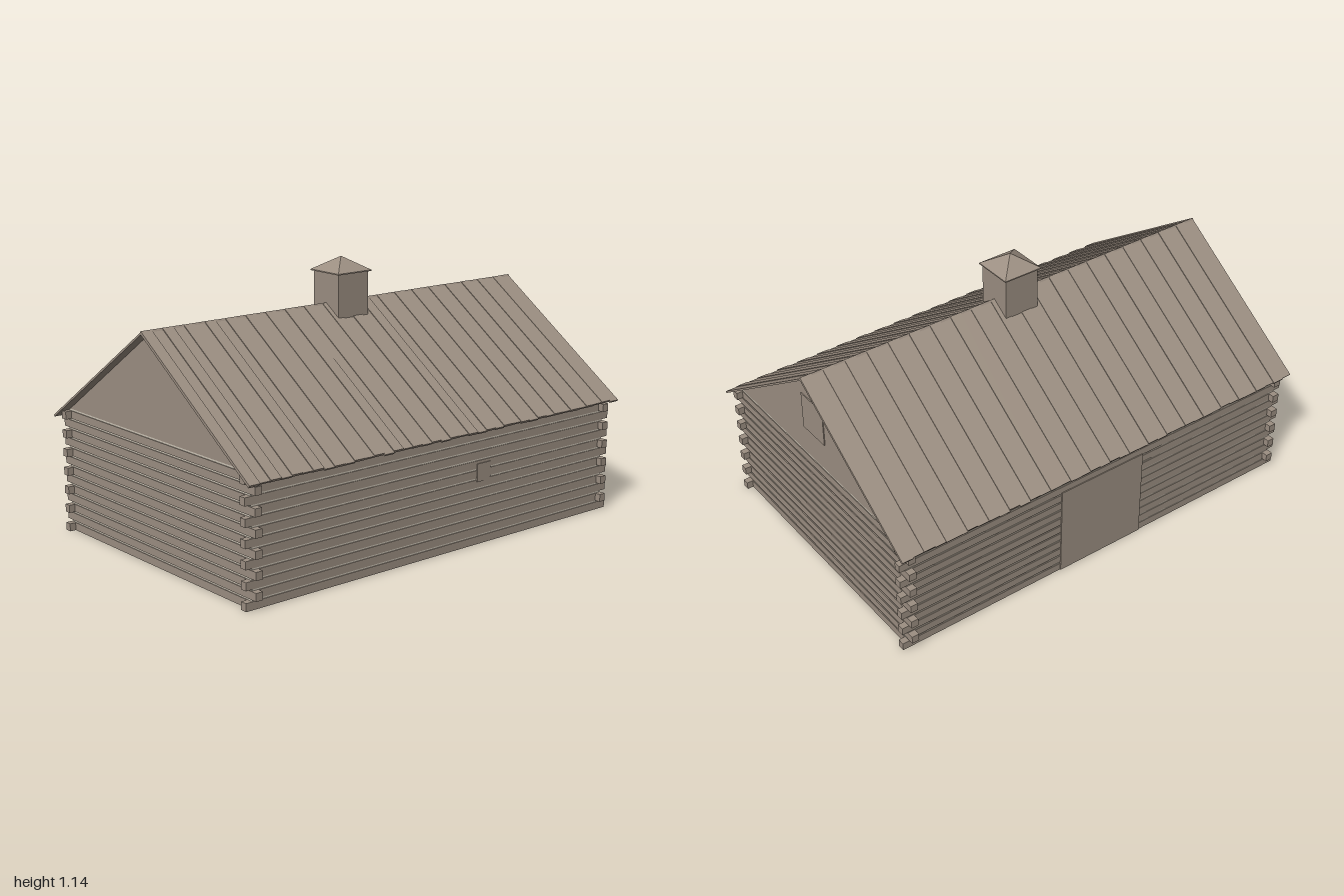
import * as THREE from 'three';

export function createModel() {
  const model = new THREE.Group();
  model.name = 'logCabin';

  const wood = new THREE.MeshStandardMaterial({ color: 0x9c8f82 });
  wood.name = 'weatheredWood';
  const clay = new THREE.MeshStandardMaterial({ color: 0xccc4b5 });
  clay.name = 'chinking';

  // Box given by two opposite corners, in any order
  function box(name, material, a, b, parent = model) {
    const size = a.map((v, i) => Math.abs(b[i] - v));
    const mesh = new THREE.Mesh(new THREE.BoxGeometry(...size), material);
    mesh.position.set(...a.map((v, i) => (v + b[i]) / 2));
    mesh.name = name;
    parent.add(mesh);
    return mesh;
  }

  let seed = 17;
  const random = () => (seed = (seed * 16807) % 2147483647) / 2147483647;

  // Log walls: 13 courses of slim faces, with square ends crossing at the corners in turn
  const step = 0.0405, logHeight = 0.033, courses = 13;
  const wallTop = courses * step;
  const longWalls = new THREE.Group(), endWalls = new THREE.Group();
  longWalls.name = 'longWallLogs';
  endWalls.name = 'endWallLogs';
  model.add(longWalls, endWalls);
  for (let k = 0; k < courses; k++) {
    const y0 = k * step, y1 = y0 + logHeight;
    for (const s of [-1, 1]) {
      box('longLog', wood, [-0.928, y0, s * 0.617], [0.928, y1, s * 0.627], longWalls);
      box('endLog', wood, [s * 0.95, y0, -0.597], [s * 0.96, y1, 0.597], endWalls);
      for (const t of [-1, 1]) {
        if (k % 2) box('endLogTip', wood, [s * 0.928, y0, t * 0.597], [s * 0.96, y1, t * 0.653], endWalls);
        else box('longLogTip', wood, [s * 0.928, y0, t * 0.597], [s * 0.987, y1, t * 0.627], longWalls);
      }
    }
  }

  // Chinking between the logs and a plain lining inside
  for (const s of [-1, 1]) {
    box('longWallChinking', clay, [-0.955, 0.003, s * 0.6175], [0.955, wallTop - 0.006, s * 0.6235]);
    box('endWallChinking', clay, [s * 0.9505, 0.003, -0.622], [s * 0.9565, wallTop, 0.622]);
    box('longWallLining', wood, [-0.95, 0, s * 0.615], [0.95, wallTop - 0.006, s * 0.6175]);
    box('endWallLining', wood, [s * 0.948, 0, -0.617], [s * 0.9505, wallTop, 0.617]);
  }

  // Gable triangles
  const ridgeY = 0.955, slope = 0.68;
  const gableShape = new THREE.Shape();
  const halfBase = (ridgeY - 0.012 - wallTop) / slope;
  gableShape.moveTo(-halfBase, wallTop);
  gableShape.lineTo(halfBase, wallTop);
  gableShape.lineTo(0, ridgeY - 0.012);
  gableShape.closePath();
  const gableGeometry = new THREE.ExtrudeGeometry(gableShape, { depth: 0.009, bevelEnabled: false });
  gableGeometry.translate(0, 0, 0.948);
  for (const s of [-1, 1]) {
    const gable = new THREE.Mesh(gableGeometry, wood);
    gable.rotation.y = s * Math.PI / 2;
    gable.name = 'gable';
    model.add(gable);
  }

  // Roof slopes of overlapping boards with ragged eaves
  const angle = Math.atan(slope), boardLength = 0.676 / Math.cos(angle);
  for (const turn of [0, Math.PI]) {
    const side = new THREE.Group(), pitched = new THREE.Group();
    side.name = 'roofSlope';
    side.rotation.y = turn;
    pitched.position.y = ridgeY;
    pitched.rotation.x = angle;
    side.add(pitched);
    model.add(side);
    const count = 40, width = 2 / count;
    for (let i = 0; i < count; i++) {
      const x = -1 + i * width;
      const top = -0.003 * (i % 2) - 0.001 * random();
      const length = boardLength - 0.007 * random();
      box('roofBoard', wood, [x, -0.012, 0], [x + width, top, length], pitched);
    }
  }

  // Smoke vent with a pyramid cap
  box('ventShaft', wood, [-0.08, 0.89, -0.08], [0.08, 1.081, 0.08]);
  box('ventCapEdge', wood, [-0.09, 1.08, -0.09], [0.09, 1.085, 0.09]);
  const capGeometry = new THREE.ConeGeometry(0.09 * Math.SQRT2, 0.057, 4).rotateY(Math.PI / 4).toNonIndexed();
  capGeometry.computeVertexNormals();
  const cap = new THREE.Mesh(capGeometry, wood);
  cap.position.y = 1.1135;
  cap.name = 'ventCap';
  model.add(cap);

  // Door at the back, small shutter in front, loft hatch in one gable
  box('door', wood, [-0.21, 0, -0.631], [0.21, 0.41, -0.618]);
  box('shutter', wood, [0.193, 0.268, 0.618], [0.267, 0.345, 0.631]);
  box('loftHatch', wood, [0.952, 0.655, -0.078], [0.961, 0.82, 0.078]);

  return model;
}
